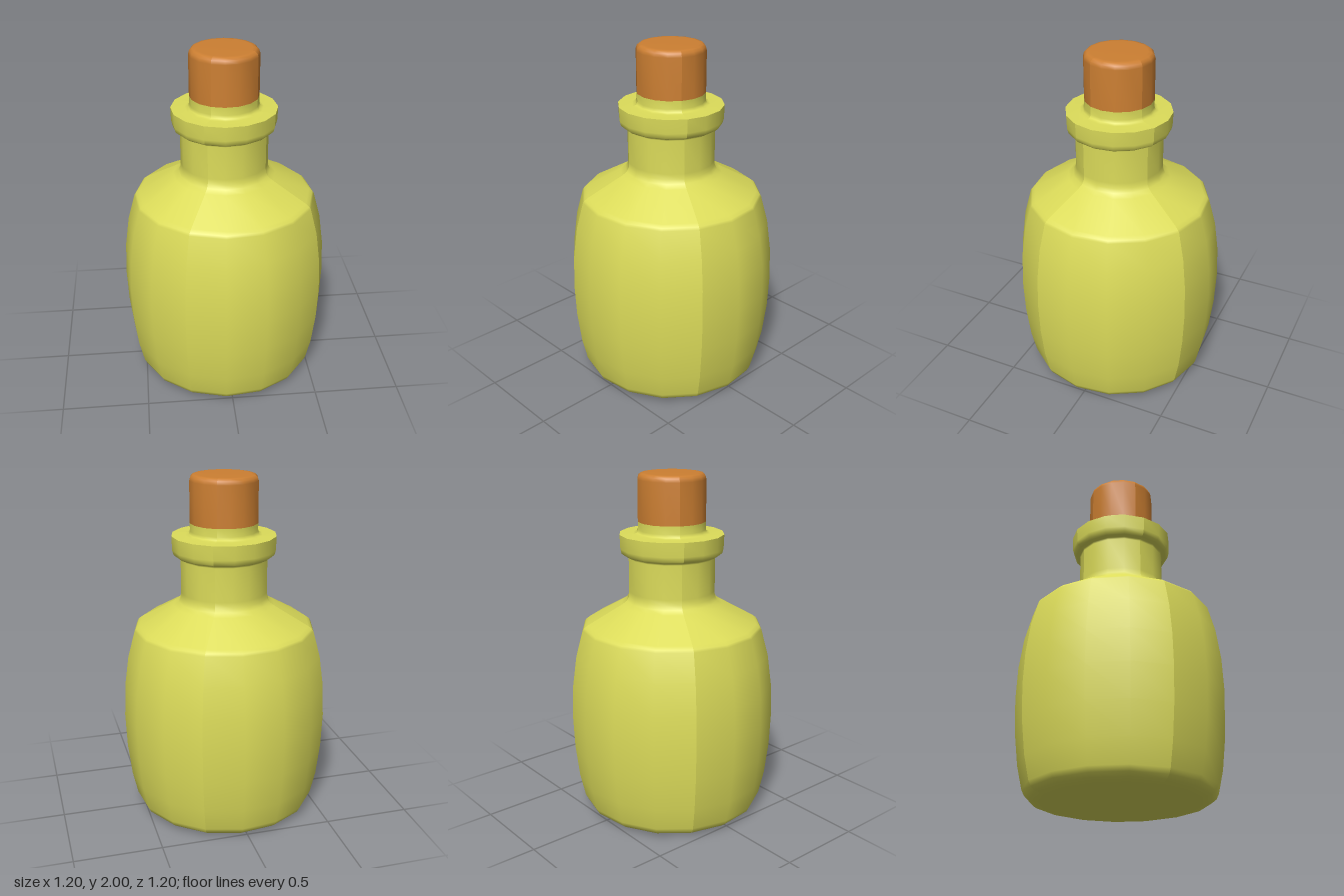
import * as THREE from 'three';
import { mergeGeometries } from 'three/addons/utils/BufferGeometryUtils.js';

const START = THREE.MathUtils.degToRad(63.2);

// Sixteen-sided turned form made of four quarters, each smooth in itself, with a visible seam between them
function turned(profile) {
  const points = profile.map(([r, y]) => new THREE.Vector2(r, y));
  const quarters = [];
  for (let i = 0; i < 4; i++) {
    const quarter = new THREE.LatheGeometry(points, 4, START + i * Math.PI / 2, Math.PI / 2);
    quarter.computeVertexNormals();
    quarters.push(quarter);
  }
  return mergeGeometries(quarters);
}

export function createModel() {
  const group = new THREE.Group();
  const glass = new THREE.MeshStandardMaterial({ color: 0xdcdc5a });
  const cork = new THREE.MeshStandardMaterial({ color: 0xcc7f32 });

  const add = (name, profile, material) => {
    const mesh = new THREE.Mesh(turned(profile), material);
    mesh.name = name;
    group.add(mesh);
  };

  // Base, bulging belly and sloping shoulder, neck and outside of the collar
  add('bottleBody', [
    [0, 0], [0.45, 0.003], [0.5, 0.015], [0.525, 0.035], [0.54, 0.065],
    [0.57, 0.2], [0.592, 0.39], [0.6, 0.59], [0.592, 0.78], [0.567, 0.96],
    [0.525, 1.115], [0.515, 1.128], [0.495, 1.143],
    [0.295, 1.255], [0.265, 1.276], [0.252, 1.3], [0.25, 1.33],
    [0.25, 1.525], [0.254, 1.536], [0.275, 1.541], [0.29, 1.553], [0.297, 1.58], [0.3, 1.66],
  ], glass);

  // Flat collar top running up into the short rim around the stopper
  add('bottleRim', [
    [0.3, 1.66], [0.22, 1.662], [0.202, 1.668], [0.195, 1.685], [0.195, 1.73],
  ], glass);

  // Stopper with a rounded top edge
  add('stopper', [
    [0.195, 1.73], [0.195, 1.965], [0.189, 1.985], [0.175, 1.997], [0.155, 2], [0, 2],
  ], cork);

  return group;
}
